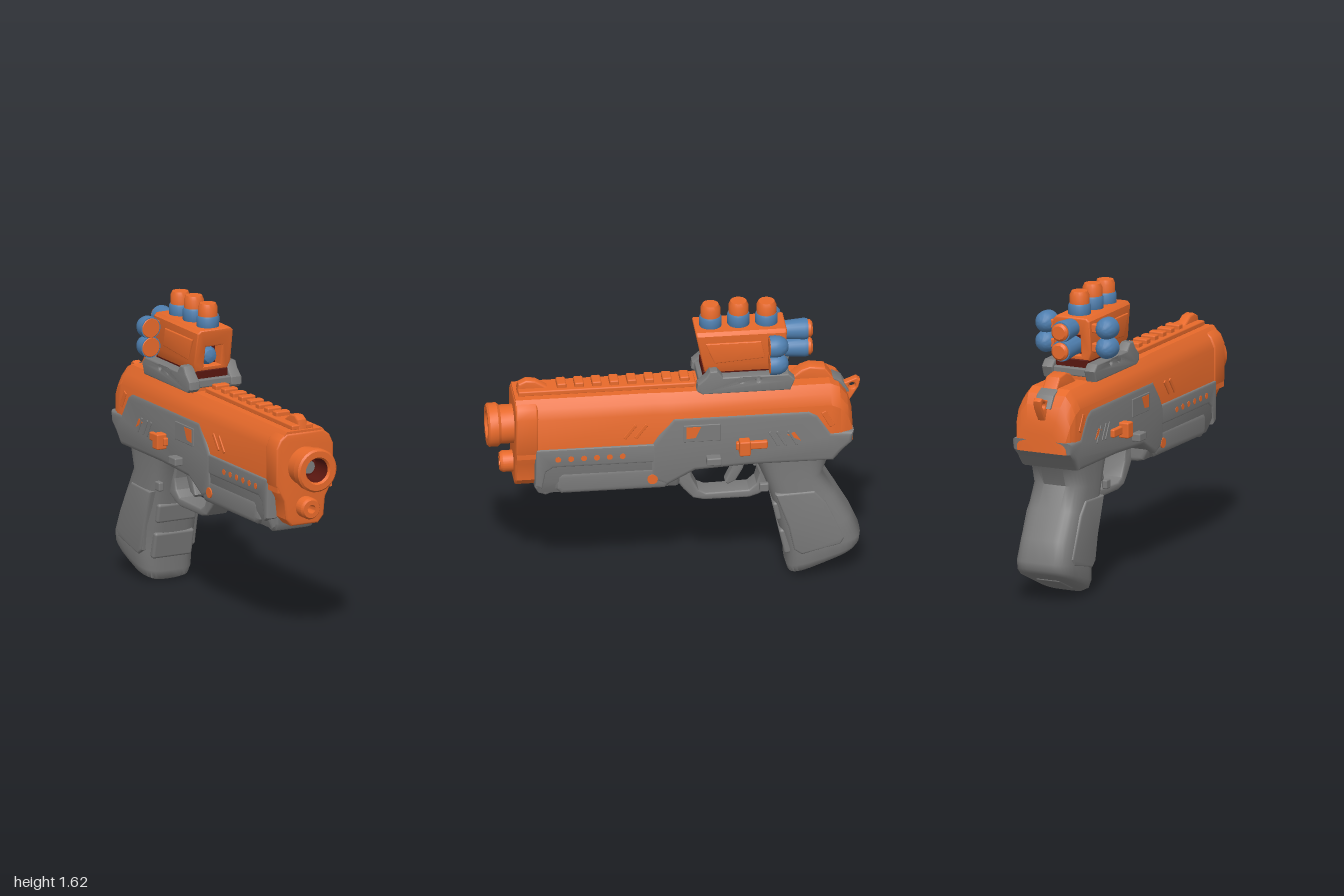
import * as THREE from 'three';
import { toCreasedNormals, mergeVertices } from 'three/addons/utils/BufferGeometryUtils.js';
import { RoundedBoxGeometry } from 'three/addons/geometries/RoundedBoxGeometry.js';

const paint = (name, color) => Object.assign(new THREE.MeshStandardMaterial({ color }), { name });
const orange = paint('orange plastic', 0xec6c2c);
const gray = paint('gray plastic', 0x7b7b7b);
const blue = paint('blue foam', 0x4e7eae);
const maroon = paint('dark red interior', 0x58160f);

// Outline with optional holes, wound the opposite way to the outline
const vectors = (pts) => pts.map(([a, b]) => new THREE.Vector2(a, b));
function outline(pts, holes = []) {
  const shape = new THREE.Shape(vectors(pts));
  shape.holes.push(...holes);
  return shape;
}
const roundHole = (a, b, r) => new THREE.Path().absarc(a, b, r, 0, Math.PI * 2, true);
const mirrored = (half) => [...half, ...half.slice().reverse().map(([x, y]) => [-x, y])];

// Extrude an outline with the bevel kept inside the given outline and depth
function extrude(pts, holes, depth, bevel) {
  const g = new THREE.ExtrudeGeometry(outline(pts, holes), {
    depth: depth - 2 * bevel, bevelEnabled: bevel > 0, bevelThickness: bevel,
    bevelSize: bevel, bevelOffset: -bevel, bevelSegments: 3, curveSegments: 16,
  });
  return toCreasedNormals(g.translate(0, 0, bevel), 0.6);
}

// Side profile given as [z, y], centred on x
const profile = (pts, width, bevel = 0.01, holes = []) =>
  extrude(pts, holes, width, bevel).translate(0, 0, -width / 2).rotateY(-Math.PI / 2);

// Front section given as [x, y], running from z0 to z1
const section = (pts, z0, z1, bevel = 0.01, holes = []) =>
  extrude(pts, holes, z1 - z0, bevel).translate(0, 0, z0);

// Skin over rings of equal length, closed at both ends
function loft(rings, crease) {
  const n = rings[0].length, index = [];
  for (let r = 0; r < rings.length - 1; r++)
    for (let i = 0; i < n; i++) {
      const a = r * n + i, b = r * n + (i + 1) % n;
      index.push(a, b, a + n, b, b + n, a + n);
    }
  const last = (rings.length - 1) * n;
  for (let i = 1; i < n - 1; i++) index.push(0, i + 1, i, last, last + i, last + i + 1);
  const g = new THREE.BufferGeometry();
  g.setAttribute('position', new THREE.Float32BufferAttribute(rings.flat(2), 3));
  g.setIndex(index);
  return toCreasedNormals(mergeVertices(g), crease);
}

// Turned part along +z from [radius, z] points
const turned = (pts) => toCreasedNormals(
  new THREE.LatheGeometry(vectors(pts), 28).rotateX(Math.PI / 2), 0.6);

export function createModel() {
  const model = new THREE.Group();
  const add = (name, geo, mat, x = 0, y = 0, z = 0) => {
    const m = new THREE.Mesh(geo, mat);
    m.name = name;
    m.position.set(x, y, z);
    model.add(m);
    return m;
  };
  const box = (name, mat, w, h, d, x, y, z, r = 0.008) =>
    add(name, new RoundedBoxGeometry(w, h, d, 2, r), mat, x, y, z);

  // Slide: bevelled top, rounded off at the rear
  const slide = [
    [-0.95, 0.92, 0.12], [-0.945, 0.99, 0.145], [-0.92, 1.07, 0.16], [-0.88, 1.125, 0.17],
    [-0.83, 1.15, 0.173], [0.04, 1.15, 0.173], [0.12, 1.15, 0.167], [0.855, 1.15, 0.167],
  ].map(([z, t, w]) => mirrored([[w, 0.82], [w, Math.max(t - 0.1, 0.85)], [w - 0.025, t - 0.045], [w - 0.06, t]])
    .map(([x, y]) => [x, y, z]));
  add('slide', loft(slide, 0.45), orange);
  add('nose plate', section(mirrored([[0.08, 0.63], [0.115, 0.67], [0.125, 0.77], [0.173, 0.86],
    [0.173, 1.06], [0.15, 1.11], [0.11, 1.14]]), 0.74, 0.86, 0.012), orange);
  box('top strip', orange, 0.13, 0.03, 0.95, 0, 1.16, 0.36);
  for (let i = 0; i < 8; i++) box('rail tooth', orange, 0.085, 0.04, 0.05, 0, 1.18, 0.6 - i * 0.094);
  add('front sight', profile([[0.84, 1.14], [0.83, 1.2], [0.79, 1.22], [0.74, 1.215], [0.66, 1.165], [0.66, 1.14]], 0.055), orange);
  add('rear sight', profile([[-0.6, 1.13], [-0.68, 1.2], [-0.73, 1.217], [-0.81, 1.205], [-0.87, 1.12]], 0.085), orange);

  // Rear lanyard hook with its eye
  add('rear hook', profile([[-0.85, 1.12], [-0.92, 1.1], [-0.98, 1.125], [-1, 1.11], [-0.99, 1.07],
    [-0.94, 0.99], [-0.87, 1.02]], 0.045, 0.006, [roundHole(-0.957, 1.08, 0.018)]), orange);
  add('rear insert', profile([[-0.85, 1.15], [-0.9, 1.125], [-0.937, 1.06], [-0.9, 1.05]], 0.1, 0.005), gray);

  // Muzzle and lower barrel
  add('muzzle', turned([[0.105, 0.84], [0.105, 0.93], [0.118, 0.945], [0.118, 0.99], [0.108, 1],
    [0.075, 1], [0.066, 0.985]]), orange, 0, 0.955);
  add('muzzle bore', turned([[0.066, 0.985], [0.062, 0.862], [0, 0.862]]), maroon, 0, 0.955);
  add('barrel core', turned([[0.036, 0.86], [0.036, 0.9], [0, 0.9]]), gray, 0, 0.955);
  add('lower barrel', turned([[0.058, 0.84], [0.058, 0.915], [0.048, 0.93], [0.024, 0.93], [0.018, 0.87], [0, 0.87]]), orange, 0, 0.73);

  // Frame and handguard
  add('frame', profile([[0.14, 0.86], [0.1, 0.93], [0.02, 1.03], [-0.71, 1.03], [-0.76, 1], [-0.83, 0.89],
    [-0.95, 0.885], [-0.94, 0.82], [-0.89, 0.775], [-0.84, 0.715], [-0.4, 0.715], [-0.1, 0.7], [0.05, 0.62], [0.14, 0.66]], 0.356, 0.025), gray);
  add('handguard', section(mirrored([[0.09, 0.585], [0.13, 0.595], [0.17, 0.68], [0.172, 0.87]]), -0.02, 0.74, 0.02), gray);
  add('handguard front lip', profile([[0.755, 0.87], [0.755, 0.62], [0.735, 0.585], [0.695, 0.57], [0.65, 0.585],
    [0.64, 0.65], [0.64, 0.87]], 0.24, 0.02), gray);
  add('handguard rail', profile([[0.755, 0.875], [0.1, 0.875], [0.1, 0.765], [0.66, 0.765], [0.7, 0.74],
    [0.72, 0.64], [0.755, 0.66]], 0.352, 0.012), gray);
  add('handguard grip panel', profile([[0.65, 0.71], [0.62, 0.74], [0.06, 0.74], [0.03, 0.72], [0.03, 0.63],
    [0.06, 0.6], [0.62, 0.6], [0.65, 0.63]], 0.346, 0.03), gray);

  // Trigger guard and trigger
  const guardOpening = new THREE.Path(vectors([[-0.08, 0.69], [-0.09, 0.6], [-0.13, 0.52], [-0.17, 0.5],
    [-0.4, 0.505], [-0.44, 0.54], [-0.455, 0.6], [-0.42, 0.7]]));
  add('trigger guard', profile([[-0.5, 0.74], [-0.53, 0.52], [-0.45, 0.475], [-0.4, 0.46], [-0.16, 0.46],
    [-0.1, 0.475], [-0.05, 0.53], [0, 0.6], [0.06, 0.62], [0.08, 0.74]], 0.125, 0.01, [guardOpening]), gray);
  add('trigger', profile([[-0.29, 0.72], [-0.31, 0.62], [-0.275, 0.545], [-0.29, 0.53], [-0.33, 0.55],
    [-0.37, 0.62], [-0.4, 0.72]], 0.07, 0.008), gray);

  // Grip: rounded rings, each from a front point to a back point [z, y, z, y, half width]
  const grip = [
    [-0.635, 0.004, -0.94, 0.14, 0.115], [-0.605, 0.017, -0.975, 0.162, 0.15], [-0.592, 0.06, -0.99, 0.185, 0.162],
    [-0.595, 0.16, -0.995, 0.225, 0.165], [-0.555, 0.29, -0.945, 0.34, 0.163], [-0.53, 0.42, -0.86, 0.49, 0.16],
    [-0.48, 0.58, -0.79, 0.61, 0.158], [-0.43, 0.7, -0.83, 0.71, 0.16], [-0.36, 0.8, -0.9, 0.8, 0.165],
  ].map(([zf, yf, zb, yb, w]) => Array.from({ length: 32 }, (_, i) => {
    const a = i / 32 * Math.PI * 2, p = (v) => Math.sign(v) * Math.abs(v) ** 0.55;
    const t = 0.5 + 0.5 * p(Math.cos(a));
    return [p(Math.sin(a)) * w, yb + (yf - yb) * t, zb + (zf - zb) * t];
  }));
  add('grip', loft(grip, 0.9), gray);
  add('grip side panels', profile([[-0.53, 0.52], [-0.74, 0.53], [-0.8, 0.46], [-0.9, 0.24], [-0.88, 0.2],
    [-0.67, 0.15], [-0.63, 0.18], [-0.6, 0.32]], 0.332, 0.012), gray);
  for (const [y, z, h] of [[0.395, -0.548, 0.11], [0.21, -0.588, 0.15]])
    box('grip front pad', gray, 0.24, h, 0.04, 0, y, z, 0.015).rotation.x = 0.22;
  box('grip base hatch', gray, 0.14, 0.02, 0.18, 0, 0.077, -0.79).rotation.x = 0.42;

  // Sight mount
  box('mount neck', orange, 0.24, 0.05, 0.46, 0, 1.15, -0.37);
  box('mount base', gray, 0.2, 0.045, 0.49, 0, 1.193, -0.37);
  box('mount interior', maroon, 0.19, 0.045, 0.44, 0, 1.235, -0.37, 0.004);
  for (const s of [-1, 1])
    add('mount arm', profile([[-0.11, 1.17], [-0.115, 1.21], [-0.16, 1.25], [-0.18, 1.285], [-0.22, 1.285],
      [-0.25, 1.245], [-0.6, 1.245], [-0.635, 1.21], [-0.61, 1.15], [-0.14, 1.15]], 0.065, 0.008,
    [-0.35, -0.44].map((z) => roundHole(z, 1.222, 0.013))), gray, s * 0.127);

  // Dart holder: square tunnel, with the front raked back towards the bottom
  const tunnel = new THREE.Path(vectors([[-0.05, 1.28], [-0.05, 1.39], [0.05, 1.39], [0.05, 1.28]]));
  const holder = section(mirrored([[0.095, 1.25], [0.112, 1.3], [0.108, 1.47], [0.09, 1.487]]), -0.6, -0.11, 0.01, [tunnel]);
  const hp = holder.attributes.position;
  for (let i = 0; i < hp.count; i++) {
    const drop = 1.487 - hp.getY(i);
    hp.setZ(i, hp.getZ(i) - drop * (hp.getZ(i) > -0.3 ? 0.2 : -0.08));
  }
  add('dart holder', toCreasedNormals(holder, 0.6), orange);
  box('tunnel interior', maroon, 0.13, 0.14, 0.34, 0, 1.335, -0.38, 0.004);
  for (const s of [-1, 1])
    add('holder side ridge', profile([[-0.16, 1.43], [-0.21, 1.31], [-0.48, 1.33], [-0.46, 1.43]], 0.02, 0.006), orange, s * 0.108);

  // Darts standing on top
  [-0.2, -0.35, -0.5].forEach((z, i) => {
    const lift = i === 1 ? 0.01 : 0;
    add('top dart foam', turned([[0.055, 1.47], [0.06, 1.48], [0.06, 1.535], [0.055, 1.545], [0, 1.545]]).rotateX(-Math.PI / 2), blue, 0, lift, z);
    add('top dart tip', turned([[0.053, 1.54], [0.053, 1.59], [0.043, 1.612], [0, 1.612]]).rotateX(-Math.PI / 2), orange, 0, lift, z);
  });

  // Darts pointing back, and round-backed darts on both sides
  for (const [y, front] of [[1.43, 0.05], [1.325, 0.4]]) {
    add('rear dart foam', turned([[0, -0.12], [0.055, -0.12], [0.058, -0.1], [0.05, 0], [0.05, front], [0.035, front + 0.03], [0, front + 0.042]]), blue, 0, y, -0.6);
    add('rear dart tip', turned([[0, -0.145], [0.036, -0.145], [0.048, -0.134], [0.048, -0.11]]), orange, 0, y, -0.6);
    for (const s of [-1, 1]) {
      add('side dart foam', turned([[0, -0.058], [0.025, -0.053], [0.045, -0.036], [0.057, -0.012], [0.06, 0.015], [0.058, 0.043], [0, 0.043]]), blue, s * 0.18, y, -0.54);
      add('side dart tip', turned([[0.054, 0.042], [0.05, 0.046], [0, 0.046]]), orange, s * 0.18, y, -0.54);
      box('side dart bracket', orange, 0.08, 0.05, 0.04, s * 0.13, y, -0.55);
    }
  }

  // Details repeated on both sides
  const disc = (r) => new THREE.CylinderGeometry(r, r, 0.008, 16).rotateZ(Math.PI / 2);
  for (const s of [-1, 1]) {
    for (let i = 0; i < 6; i++) add('vent dot', disc(0.016), orange, s * 0.174, 0.815, 0.635 - i * 0.069);
    add('side screw', disc(0.028), orange, s * 0.176, 0.665, 0.13);
    box('side window', gray, 0.01, 0.1, 0.2, s * 0.178, 0.93, -0.135, 0.004);
    add('window marker', profile([[-0.05, 0.97], [-0.13, 0.97], [-0.1, 0.905], [-0.05, 0.9]], 0.006, 0), orange, s * 0.182);
    add('rear marker', profile([[-0.59, 0.89], [-0.63, 0.905], [-0.665, 0.85]], 0.006, 0), orange, s * 0.177);
    for (const z of [-0.52, -0.56, -0.62]) box('side rib', gray, 0.012, 0.1, 0.014, s * 0.176, 0.87, z, 0.004).rotation.x = 0.5;
    box('lever arm', orange, 0.03, 0.045, 0.17, s * 0.185, 0.845, -0.4);
    box('lever thumb pad', orange, 0.06, 0.085, 0.06, s * 0.205, 0.845, -0.36);
    box('release button', gray, 0.06, 0.045, 0.08, s * 0.195, 0.772, -0.195);
    box('guard pin', gray, 0.03, 0.05, 0.05, s * 0.145, 0.565, -0.47);
    for (const z of [0.19, 0.25]) box('slide slash', orange, 0.014, 0.1, 0.02, s * 0.166, 0.955, z, 0.004).rotation.x = -0.65;
    box('rear slash', orange, 0.014, 0.1, 0.03, s * 0.17, 0.97, -0.81, 0.004).rotation.x = 0.5;
  }
  return model;
}
